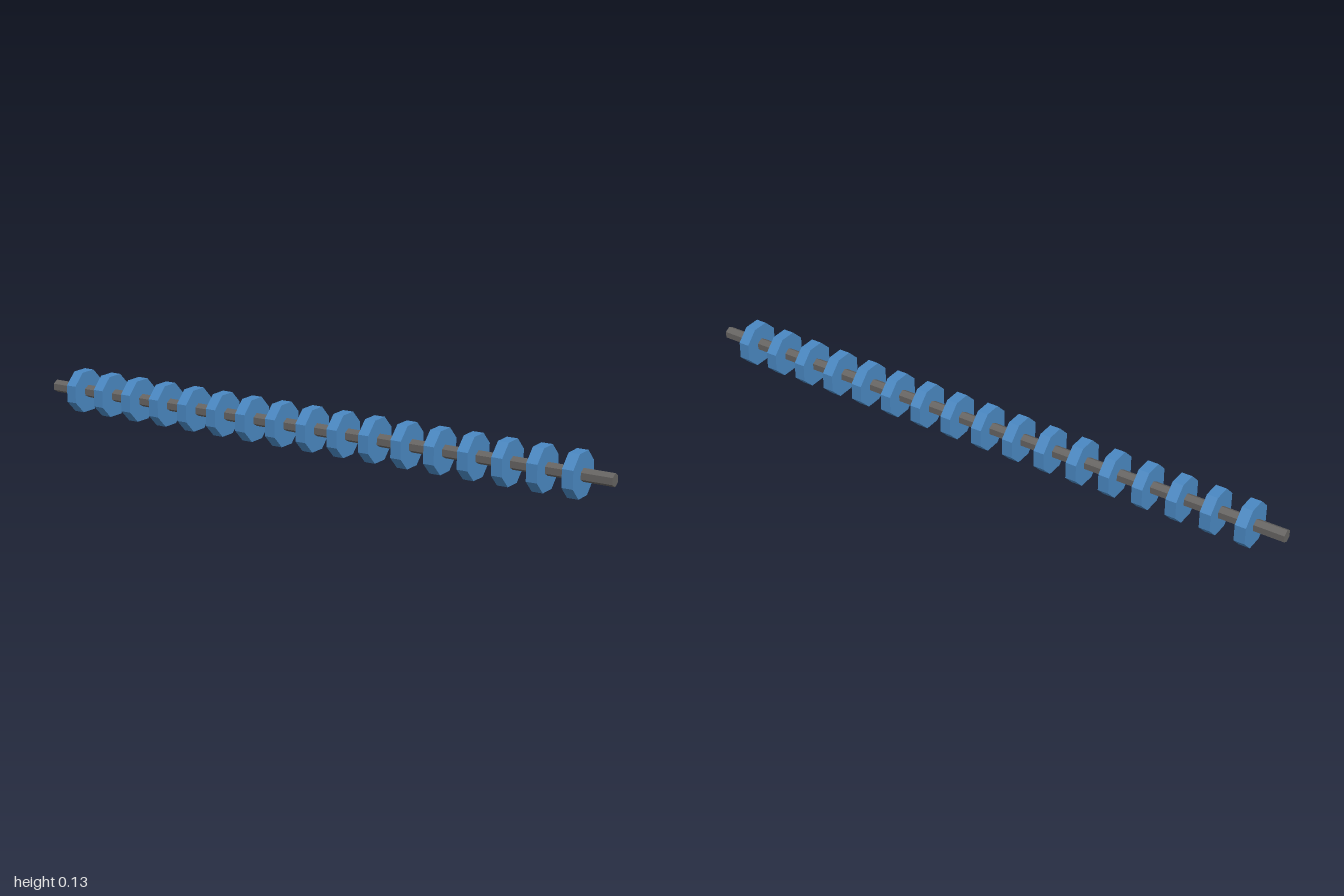
import * as THREE from 'three';

const AXIS_Y = 0.066;
const DISC_COUNT = 17;
const DISC_SPACING = 0.1107;

// Prism lying along x
function prism(name, radius, length, sides, turn, material) {
  const geometry = new THREE.CylinderGeometry(radius, radius, length, sides, 1, false, turn);
  geometry.rotateZ(Math.PI / 2);
  const mesh = new THREE.Mesh(geometry, material);
  mesh.name = name;
  return mesh;
}

export function createModel() {
  const model = new THREE.Group();
  model.name = 'discRoller';
  const steel = new THREE.MeshStandardMaterial({ color: 0x666462, flatShading: true });
  const blue = new THREE.MeshStandardMaterial({ color: 0x4a88c2, flatShading: true });

  // Hexagonal axle, corners at top and bottom
  const axle = prism('axle', 0.0205, 2, 6, Math.PI / 6, steel);
  axle.position.y = AXIS_Y;
  model.add(axle);

  // Evenly spaced octagonal discs, flats at top and bottom
  const discs = new THREE.Group();
  discs.name = 'discs';
  const radius = AXIS_Y / Math.cos(Math.PI / 8);
  for (let i = 0; i < DISC_COUNT; i++) {
    const disc = prism('disc', radius, 0.035, 8, Math.PI / 8, blue);
    disc.position.set((i - (DISC_COUNT - 1) / 2) * DISC_SPACING, AXIS_Y, 0);
    discs.add(disc);
  }
  model.add(discs);
  return model;
}
